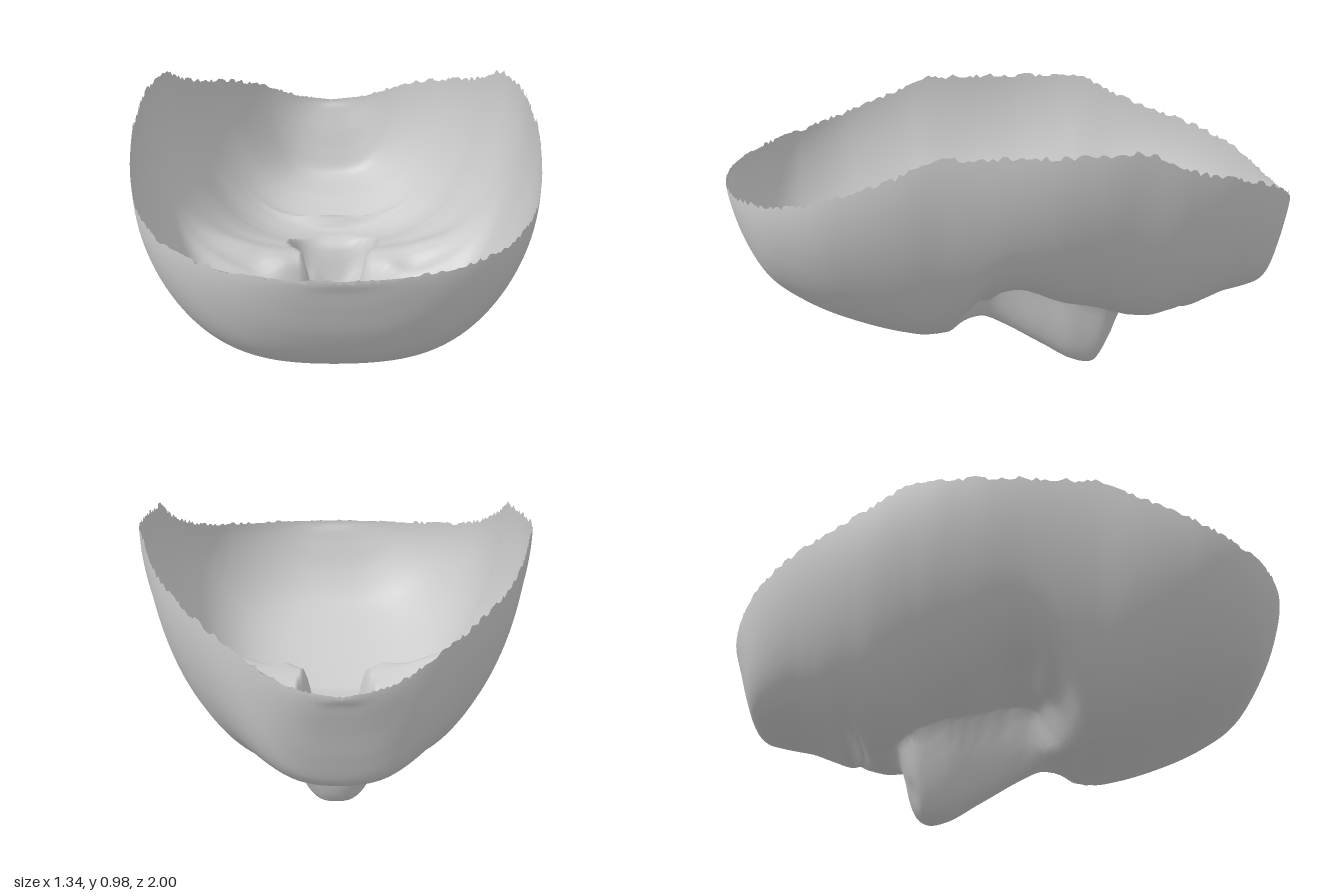
import * as THREE from 'three';

const { smoothstep } = THREE.MathUtils;

// Monotone cubic through [z, value] pairs, spaced by asin(z) so the ends round off
function profile(pairs) {
  const a = pairs.map(p => Math.asin(p[0])), v = pairs.map(p => p[1]);
  const n = a.length, d = [], m = [];
  for (let i = 0; i < n - 1; i++) d.push((v[i + 1] - v[i]) / (a[i + 1] - a[i]));
  for (let i = 0; i < n; i++) {
    if (i === 0) m.push(d[0]);
    else if (i === n - 1) m.push(d[n - 2]);
    else m.push(d[i - 1] * d[i] <= 0 ? 0 : 2 * d[i - 1] * d[i] / (d[i - 1] + d[i]));
  }
  return z => {
    const t = Math.min(Math.max(Math.asin(z), a[0]), a[n - 1]);
    let i = 0;
    while (i < n - 2 && t > a[i + 1]) i++;
    const h = a[i + 1] - a[i], s = (t - a[i]) / h, s2 = s * s, s3 = s2 * s;
    return (2 * s3 - 3 * s2 + 1) * v[i] + (s3 - 2 * s2 + s) * h * m[i]
      + (3 * s2 - 2 * s3) * v[i + 1] + (s3 - s2) * h * m[i + 1];
  };
}

// Head shell: half width, open rim height and lowest line, from chin (-1) to forehead (+1)
const width = profile([[-1, 0], [-0.97, 0.16], [-0.9, 0.285], [-0.8, 0.39], [-0.6, 0.525], [-0.4, 0.61],
  [-0.2, 0.66], [-0.05, 0.672], [0.2, 0.66], [0.4, 0.65], [0.6, 0.615], [0.8, 0.505], [0.9, 0.385], [0.97, 0.225], [1, 0]]);
const rim = profile([[-1, 0.64], [-0.98, 0.662], [-0.95, 0.695], [-0.9, 0.738], [-0.8, 0.79], [-0.5, 0.89],
  [-0.3, 0.97], [0.27, 0.97], [0.4, 0.92], [0.6, 0.85], [0.8, 0.795], [0.95, 0.775], [1, 0.77]]);
const base = profile([[-1, 0.64], [-0.99, 0.61], [-0.98, 0.578], [-0.96, 0.515], [-0.93, 0.415], [-0.9, 0.34],
  [-0.87, 0.32], [-0.8, 0.31], [-0.73, 0.303], [-0.67, 0.285], [-0.6, 0.264], [-0.52, 0.252], [-0.45, 0.238],
  [-0.38, 0.245], [-0.3, 0.27], [-0.2, 0.292], [-0.05, 0.287], [0.03, 0.275], [0.1, 0.25], [0.2, 0.222],
  [0.33, 0.205], [0.4, 0.218], [0.6, 0.285], [0.75, 0.357], [0.85, 0.428], [0.93, 0.555], [0.97, 0.665], [0.99, 0.733], [1, 0.77]]);

// Nose: ridge height and half width
const ridge = profile([[-0.43, 0.237], [-0.39, 0.22], [-0.37, 0.18], [-0.355, 0.115], [-0.34, 0.06], [-0.31, 0.012],
  [-0.27, 0], [-0.22, 0.012], [-0.1, 0.08], [0.05, 0.17], [0.13, 0.21], [0.22, 0.22], [0.3, 0.22]]);
const noseWidth = profile([[-0.43, 0.06], [-0.39, 0.11], [-0.36, 0.145], [-0.3, 0.17], [-0.22, 0.168], [-0.1, 0.14],
  [0, 0.12], [0.1, 0.11], [0.17, 0.13], [0.24, 0.2], [0.3, 0.28]]);

const bump = (dx, dz, rx, rz) => Math.exp(-((dx / rx) ** 2) - (dz / rz) ** 2);

// Hollow under a curved brow edge, fading down the cheek and out to the temple
function eyeSocket(ax, z) {
  const edge = z + 1.6 * (ax - 0.33) ** 2;
  const fade = z < 0.08 ? Math.exp(-(((z - 0.08) / 0.2) ** 2)) : 1;
  return 0.11 * (1 - smoothstep(edge, 0.15, 0.26)) * fade * (1 - smoothstep(ax, 0.3, 0.62));
}

// Height offset of the facial features; the face looks down, so negative is outward
function features(x, z) {
  const ax = Math.abs(x);
  let y = eyeSocket(ax, z);
  y += 0.025 * bump(ax - 0.19, z - 0.12, 0.06, 0.05);          // inner eye corner
  y -= 0.025 * bump(ax - 0.31, z - 0.12, 0.1, 0.05);           // eyelid
  y += 0.01 * bump(ax - 0.31, z - 0.085, 0.1, 0.012);          // lid line
  y -= 0.015 * bump(ax - 0.38, z + 0.12, 0.14, 0.14);          // cheek
  const lipZ = -0.525 - 0.5 * ax * ax;
  y -= 0.006 * bump(ax, z - lipZ - 0.04, 0.17, 0.025);         // upper lip
  y -= 0.01 * bump(ax, z - lipZ + 0.05, 0.17, 0.03);           // lower lip
  y += 0.04 * bump(ax, z - lipZ, 0.2, 0.016);                  // mouth line
  return y;
}

function surfaceY(x, z, phi) {
  // Cross-section: an ellipse filled out slightly between the middle and the rim
  const c = Math.cos(phi), depth = c + 0.3 * Math.sin(phi) ** 2 * c ** 3;
  const top = rim(z);
  let y = top - (top - base(z)) * depth + features(x, z) * Math.min(1, c * 2);
  if (z > -0.43 && z < 0.3) {
    const q = Math.min(1, Math.abs(x) / noseWidth(z));
    const r = Math.min(ridge(z), y);
    y = r + (y - r) * q ** 3;
    y += 0.04 * bump(Math.abs(x) - 0.075, z + 0.33, 0.032, 0.02); // nostril
  }
  return y;
}

export function createModel() {
  const rows = 220, cols = 140, pos = [], index = [];
  let seed = 7;
  const rand = () => (seed = (seed * 16807) % 2147483647) / 2147483647;

  for (let i = 0; i <= rows; i++) {
    const z = Math.sin((i / rows - 0.5) * Math.PI);
    const w = Math.max(0, width(z));
    for (let j = 0; j <= cols; j++) {
      const phi = (j / cols - 0.5) * Math.PI;
      const x = w * Math.sin(phi);
      let y = surfaceY(x, z, phi);
      if (j === 0 || j === cols) y += 0.018 * (rand() - 0.7); // ragged open rim
      pos.push(x, Math.max(0, y), z);
    }
  }
  for (let i = 0; i < rows; i++) {
    for (let j = 0; j < cols; j++) {
      const a = i * (cols + 1) + j, b = a + cols + 1;
      index.push(a, a + 1, b, a + 1, b + 1, b);
    }
  }
  const geometry = new THREE.BufferGeometry();
  geometry.setAttribute('position', new THREE.Float32BufferAttribute(pos, 3));
  geometry.setIndex(index);
  geometry.computeVertexNormals();

  const mask = new THREE.Mesh(geometry,
    new THREE.MeshStandardMaterial({ color: 0xcccccc, side: THREE.DoubleSide }));
  mask.name = 'faceMask';
  const group = new THREE.Group();
  group.name = 'mask';
  group.add(mask);
  return group;
}
